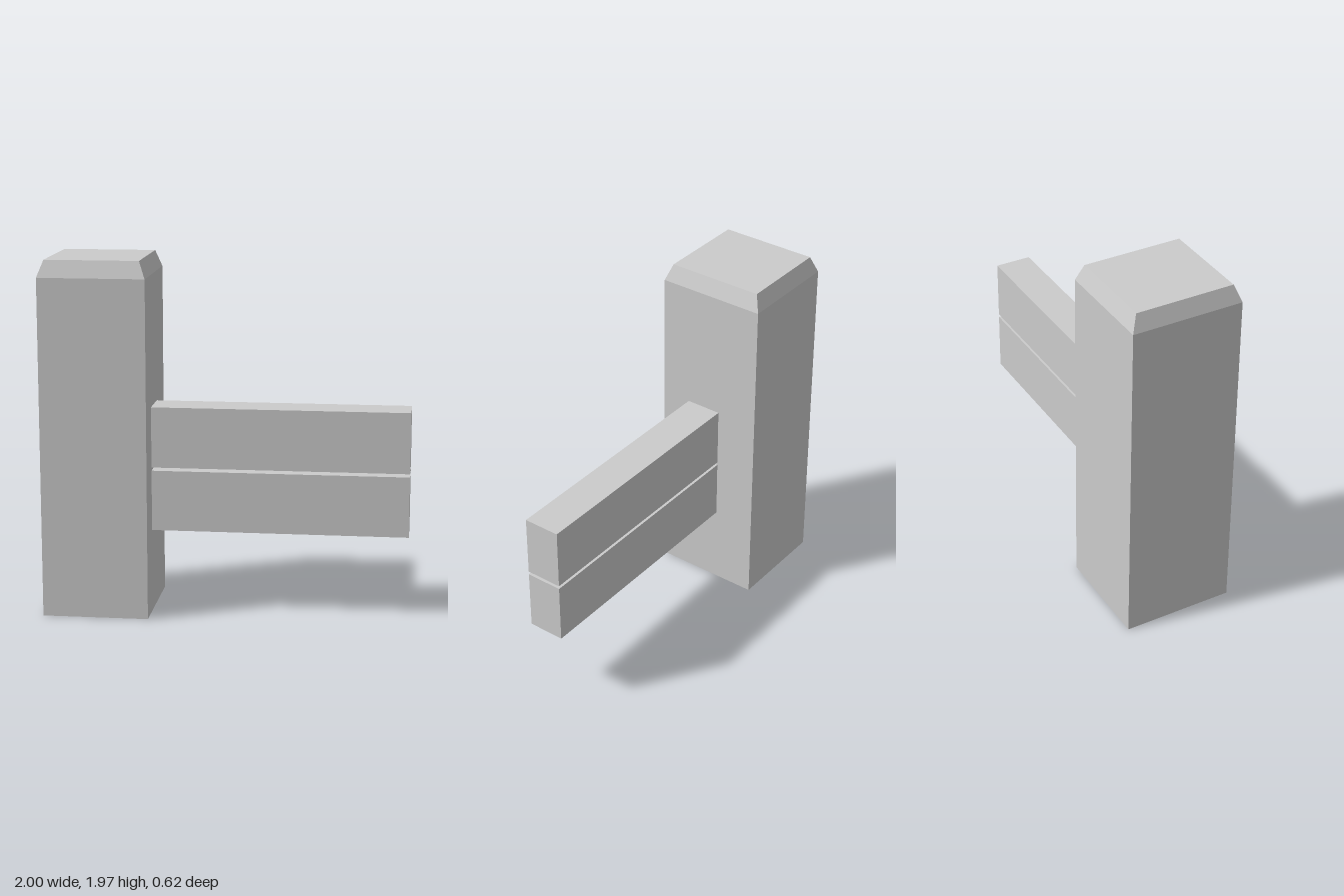
import * as THREE from 'three';

export function createModel() {
  const model = new THREE.Group();
  const material = new THREE.MeshStandardMaterial({ color: 0xcccccc, flatShading: true });

  // Square post: a box with three rings of corners, the top ring drawn in as a chamfer
  const width = 0.585, depth = 0.62, shoulder = 1.875, height = 1.968, inset = 0.035;
  const postShape = new THREE.BoxGeometry(width, 2, depth, 1, 2, 1);
  const pos = postShape.attributes.position;
  for (let i = 0; i < pos.count; i++) {
    const y = pos.getY(i);
    if (y > 0.5) {
      pos.setX(i, Math.sign(pos.getX(i)) * (width / 2 - inset));
      pos.setZ(i, Math.sign(pos.getZ(i)) * (depth / 2 - inset));
    }
    pos.setY(i, y > 0.5 ? height : y > -0.5 ? shoulder : 0);
  }
  const geometry = postShape.toNonIndexed();
  geometry.computeVertexNormals();
  const post = new THREE.Mesh(geometry, material);
  post.name = 'post';
  post.position.x = -1 + width / 2;
  model.add(post);

  // Two rails, one above the other with a narrow gap, set slightly forward
  const railStart = -1 + width, railLength = 1 - railStart;
  for (const [name, y] of [['lowerRail', 0.63], ['upperRail', 0.985]]) {
    const rail = new THREE.Mesh(new THREE.BoxGeometry(railLength, 0.337, 0.206), material);
    rail.name = name;
    rail.position.set(railStart + railLength / 2, y, 0.036);
    model.add(rail);
  }

  return model;
}
